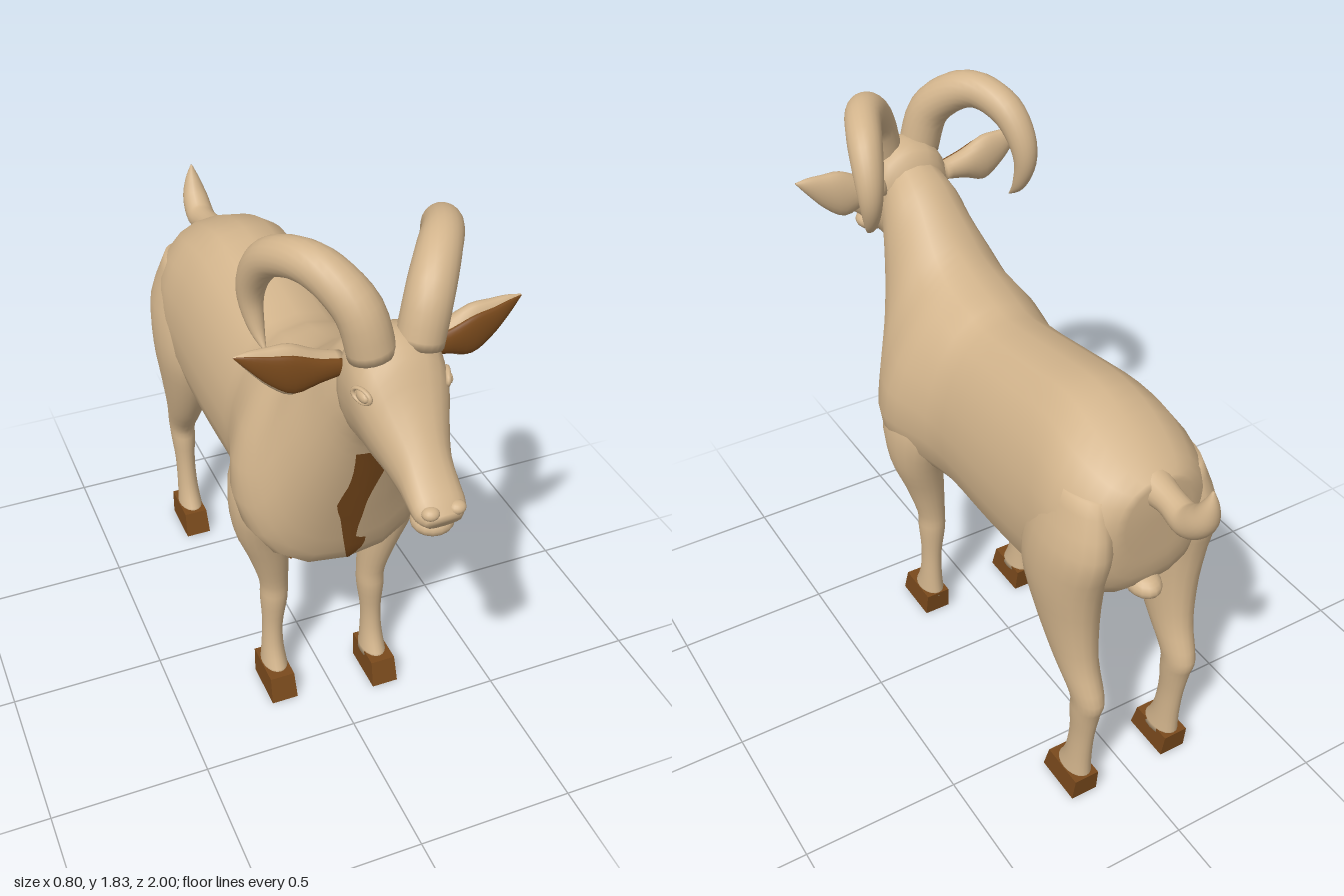
import * as THREE from 'three';

const coat = new THREE.MeshStandardMaterial({ color: 0xd2b48c });
coat.name = 'tanCoat';
const brown = new THREE.MeshStandardMaterial({ color: 0x7a4a1c, side: THREE.DoubleSide });
brown.name = 'brown';

const SIDES = 20;
const V = (x, y, z) => new THREE.Vector3(x, y, z);
const pow = (c, p) => Math.sign(c) * Math.abs(c) ** p;

// Catmull-Rom rows of numbers between the given rows
function smooth(rows, steps = 3) {
  const out = [];
  for (let i = 0; i < rows.length - 1; i++) {
    const [a, b, c, d] = [rows[Math.max(i - 1, 0)], rows[i], rows[i + 1], rows[Math.min(i + 2, rows.length - 1)]];
    for (let s = 0; s < steps; s++) {
      const t = s / steps;
      out.push(b.map((_, j) => 0.5 * (2 * b[j] + (c[j] - a[j]) * t
        + (2 * a[j] - 5 * b[j] + 4 * c[j] - d[j]) * t * t
        + (3 * b[j] - a[j] - 3 * c[j] + d[j]) * t * t * t)));
    }
  }
  out.push(rows[rows.length - 1]);
  return out;
}

// Closed skin over a row of rings, always facing outwards
function loft(rings) {
  const n = rings[0].length, pts = rings.flat(), idx = [];
  for (let r = 0; r < rings.length - 1; r++) {
    for (let i = 0; i < n; i++) {
      const a = r * n + i, b = r * n + (i + 1) % n;
      idx.push(a, b, b + n, a, b + n, a + n);
    }
  }
  [0, rings.length - 1].forEach((r) => {
    const mid = rings[r].reduce((m, p) => m.add(p), V(0, 0, 0)).divideScalar(n);
    pts.push(mid);
    for (let i = 0; i < n; i++) {
      const a = r * n + i, b = r * n + (i + 1) % n;
      idx.push(pts.length - 1, ...(r ? [a, b] : [b, a]));
    }
  });
  let volume = 0;
  for (let i = 0; i < idx.length; i += 3) {
    volume += pts[idx[i]].dot(V(0, 0, 0).crossVectors(pts[idx[i + 1]], pts[idx[i + 2]]));
  }
  if (volume < 0) idx.reverse();
  const g = new THREE.BufferGeometry().setFromPoints(pts);
  g.setIndex(idx);
  g.computeVertexNormals();
  return g;
}

const ring = (fn) => Array.from({ length: SIDES }, (_, i) => {
  const a = (i / SIDES) * Math.PI * 2;
  return fn(Math.cos(a), Math.sin(a));
});

// Rows: top z, top y, bottom z, bottom y, half width, egg shape (+ is wide below)
const trunk = (rows) => loft(smooth(rows).map(([tz, ty, bz, by, w, k]) => ring((c, s) =>
  V(w * pow(c, 0.85) * (1 - k * s), (ty + by) / 2 + (ty - by) / 2 * s, (tz + bz) / 2 + (tz - bz) / 2 * s))));

// Rows: y, z, depth radius, x, width radius
const limb = (rows, side, dz) => loft(smooth(rows).map(([y, z, rz, x, rx]) => ring((c, s) =>
  V(side * (x + rx * c), y, z + dz + rz * s))));

// Rows: x, y, z, radius
function taper(rows, side) {
  const p = smooth(rows, 4).map(([x, y, z, r]) => ({ c: V(side * x, y, z), r }));
  return loft(p.map(({ c, r }, i) => {
    const t = p[Math.min(i + 1, p.length - 1)].c.clone().sub(p[Math.max(i - 1, 0)].c).normalize();
    const u = V(1, 0, 0).addScaledVector(t, -t.x).normalize();
    const v = V(0, 0, 0).crossVectors(t, u);
    return ring((a, b) => c.clone().addScaledVector(u, r * a).addScaledVector(v, r * b));
  }));
}

// Rows: x, y, height radius, depth radius
const leaf = (rows, side, high, deep, ahead) => loft(smooth(rows).map(([x, y, ry, rz]) => ring((c, s) =>
  V(side * x, y + ry * high * s, 0.58 + rz * (ahead + deep * c)))));

const BODY = [
  [-0.79, 1.2, -0.775, 0.95, 0.11, 0], [-0.73, 1.24, -0.75, 0.82, 0.2, 0],
  [-0.6, 1.3, -0.62, 0.71, 0.25, 0], [-0.45, 1.335, -0.47, 0.645, 0.25, 0.05],
  [-0.25, 1.31, -0.25, 0.62, 0.245, 0.05], [0, 1.275, 0, 0.63, 0.24, 0.08],
  [0.1, 1.295, 0.12, 0.64, 0.26, 0.15], [0.2, 1.32, 0.28, 0.635, 0.295, 0.25],
  [0.29, 1.36, 0.4, 0.64, 0.265, 0.25], [0.36, 1.415, 0.47, 0.83, 0.21, 0.15],
  [0.43, 1.475, 0.53, 1.02, 0.165, 0.1], [0.49, 1.52, 0.59, 1.2, 0.135, 0], [0.57, 1.56, 0.63, 1.26, 0.11, 0],
];
const HEAD = [
  [0.54, 1.53, 0.58, 1.3, 0.09, 0], [0.575, 1.59, 0.6, 1.24, 0.125, -0.1], [0.66, 1.61, 0.68, 1.235, 0.13, -0.2],
  [0.73, 1.57, 0.74, 1.23, 0.12, -0.2], [0.79, 1.485, 0.79, 1.228, 0.098, -0.15], [0.86, 1.4, 0.85, 1.222, 0.077, 0],
  [0.92, 1.335, 0.9, 1.22, 0.074, 0], [0.965, 1.295, 0.945, 1.215, 0.07, 0], [0.995, 1.262, 0.965, 1.215, 0.045, 0],
];
const FRONT_LEG = [
  [0.07, 0.27, 0.068, 0.165, 0.043], [0.15, 0.255, 0.046, 0.165, 0.035], [0.25, 0.25, 0.04, 0.162, 0.033],
  [0.36, 0.25, 0.05, 0.157, 0.044], [0.43, 0.25, 0.05, 0.157, 0.046], [0.55, 0.255, 0.07, 0.175, 0.064],
  [0.68, 0.255, 0.1, 0.2, 0.085], [0.83, 0.255, 0.14, 0.2, 0.09], [1.0, 0.22, 0.1, 0.17, 0.06],
];
const HIND_LEG = [
  [0.07, -0.67, 0.07, 0.165, 0.043], [0.15, -0.69, 0.05, 0.165, 0.036], [0.26, -0.705, 0.046, 0.165, 0.034],
  [0.36, -0.715, 0.055, 0.165, 0.042], [0.43, -0.72, 0.066, 0.165, 0.046], [0.55, -0.655, 0.092, 0.17, 0.06],
  [0.7, -0.61, 0.13, 0.175, 0.08], [0.85, -0.595, 0.163, 0.18, 0.095], [1.0, -0.62, 0.17, 0.175, 0.09], [1.16, -0.62, 0.12, 0.15, 0.06],
];
const HORN = [
  [0.065, 1.56, 0.665, 0.064], [0.095, 1.68, 0.645, 0.064], [0.15, 1.755, 0.575, 0.06],
  [0.2, 1.772, 0.5, 0.055], [0.24, 1.735, 0.41, 0.052], [0.26, 1.66, 0.355, 0.045],
  [0.265, 1.58, 0.34, 0.035], [0.258, 1.5, 0.365, 0.021], [0.25, 1.45, 0.41, 0.002],
];
const TAIL = [
  [0, 1.17, -0.73, 0.06], [0, 1.165, -0.82, 0.042], [0, 1.155, -0.9, 0.047],
  [0, 1.2, -0.957, 0.043], [0, 1.26, -0.98, 0.025], [0, 1.31, -0.985, 0.003],
];
const EAR = [
  [0.11, 1.495, 0.03, 0.03], [0.18, 1.5, 0.047, 0.036], [0.25, 1.506, 0.075, 0.036],
  [0.31, 1.527, 0.057, 0.028], [0.36, 1.555, 0.03, 0.017], [0.4, 1.577, 0.002, 0.003],
];
// Rows: y, right edge x, left edge x
const STRIPE = [
  [1.18, -0.06, 0.035], [1.1, -0.055, 0.045], [1.03, -0.06, 0.03], [0.95, -0.08, 0.012], [0.88, -0.06, 0.008],
  [0.77, -0.035, 0.004], [0.75, -0.03, 0.04], [0.7, -0.018, 0.035], [0.65, -0.003, 0.006],
];

// Thin marking laid over the chest
function chestStripe(body) {
  const ray = new THREE.Raycaster(), pts = [], idx = [], n = 5;
  smooth(STRIPE, 2).forEach(([y, x0, x1], r) => {
    for (let i = 0; i < n; i++) {
      const x = x0 + (x1 - x0) * i / (n - 1);
      ray.set(V(x, y, 2), V(0, 0, -1));
      const hit = ray.intersectObject(body)[0];
      pts.push(V(x, y, (hit ? hit.point.z : 0.4) + 0.007));
      if (r && i) {
        const d = r * n + i;
        idx.push(d - n - 1, d - 1, d, d - n - 1, d, d - n);
      }
    }
  });
  const g = new THREE.BufferGeometry().setFromPoints(pts);
  g.setIndex(idx);
  g.computeVertexNormals();
  return g;
}

// Wedge hoof leaning forward
function hoofGeometry() {
  const g = new THREE.BoxGeometry(0.088, 0.085, 0.165), p = g.attributes.position;
  for (let i = 0; i < p.count; i++) {
    if (p.getY(i) > 0) p.setXYZ(i, p.getX(i) * 0.93, p.getY(i), p.getZ(i) * 0.92 - 0.018);
  }
  g.computeVertexNormals();
  return g;
}

export function createModel() {
  const goat = new THREE.Group();
  goat.name = 'goat';
  const add = (name, geometry, material = coat) => {
    const m = new THREE.Mesh(geometry, material);
    m.name = name;
    goat.add(m);
    return m;
  };
  const blob = (name, x, y, z, rx, ry, rz) => {
    const m = add(name, new THREE.SphereGeometry(1, 16, 12));
    m.position.set(x, y, z);
    m.scale.set(rx, ry, rz);
    return m;
  };

  const body = add('body', trunk(BODY));
  add('chestStripe', chestStripe(body), brown);
  add('head', trunk(HEAD));
  add('tail', taper(TAIL, 1));
  blob('chin', 0, 1.202, 0.915, 0.058, 0.036, 0.055);
  blob('scrotum', 0, 0.81, -0.73, 0.05, 0.04, 0.07);

  for (const side of [1, -1]) {
    const tag = side > 0 ? 'left' : 'right';
    const step = side > 0 ? 0 : -0.055; // right front leg stands a little further back

    // Legs and hooves
    add(tag + 'FrontLeg', limb(FRONT_LEG, side, step));
    add(tag + 'HindLeg', limb(HIND_LEG, side, 0));
    add(tag + 'FrontHoof', hoofGeometry(), brown).position.set(side * 0.168, 0.0425, 0.295 + step);
    add(tag + 'HindHoof', hoofGeometry(), brown).position.set(side * 0.168, 0.0425, -0.653);

    // Horns and ears
    add(tag + 'Horn', taper(HORN, side));
    add(tag + 'Ear', leaf(EAR, side, 1, 1, 0));
    add(tag + 'InnerEar', leaf(EAR, side, 0.76, 0.45, 0.75), brown);

    // Eyes with lids, nostrils
    blob(tag + 'Eye', side * 0.115, 1.485, 0.725, 0.014, 0.017, 0.028);
    const lid = add(tag + 'Eyelid', new THREE.TorusGeometry(0.03, 0.007, 8, 20));
    lid.position.set(side * 0.118, 1.485, 0.725);
    lid.rotation.y = side * 1.2;
    lid.scale.y = 0.65;
    blob(tag + 'Nostril', side * 0.036, 1.272, 0.97, 0.024, 0.018, 0.022);
  }

  // Small marking inside the right front leg
  add('legPatch', new THREE.BoxGeometry(0.009, 0.075, 0.05), brown).position.set(-0.111, 0.57, 0.21);
  return goat;
}
